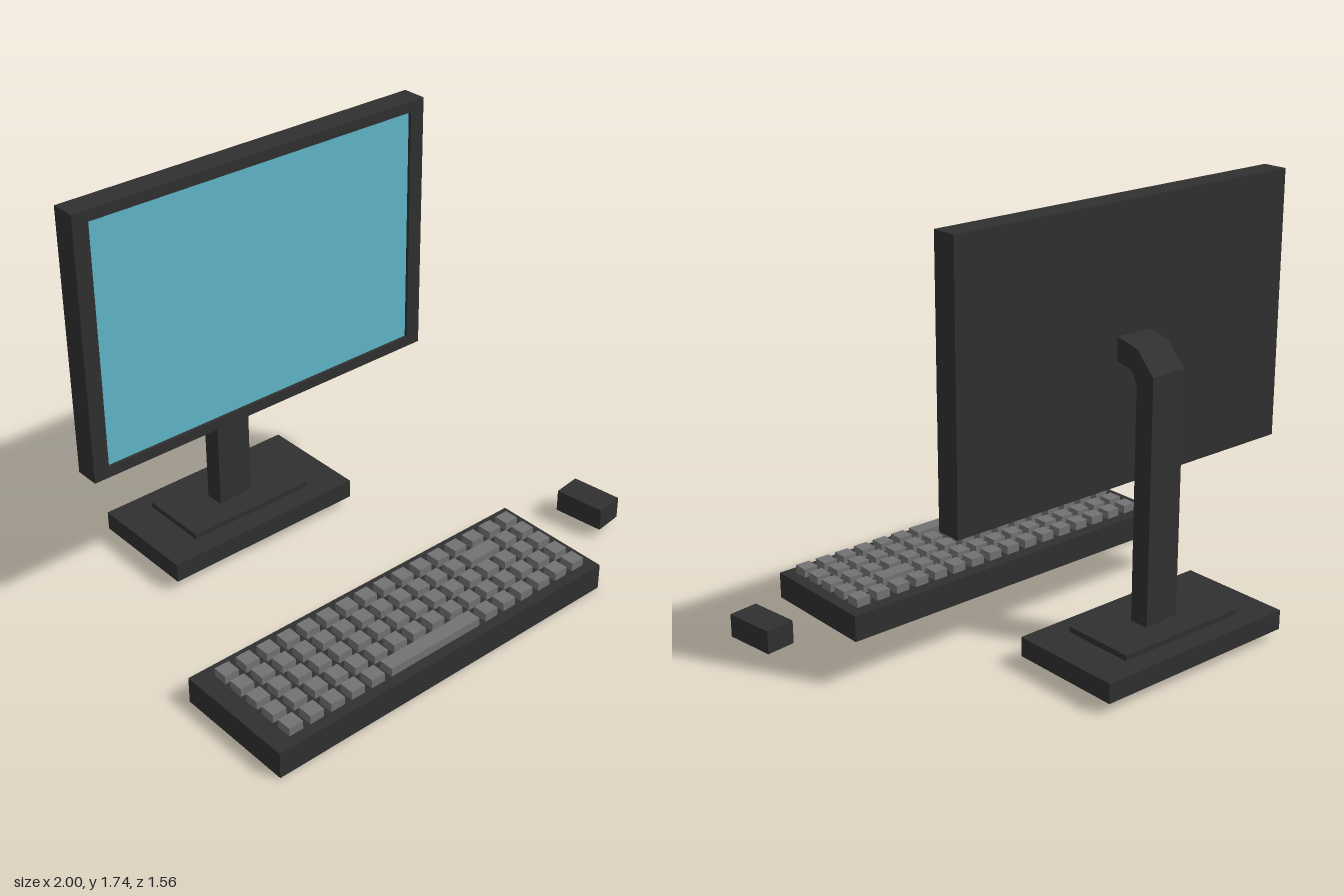
import * as THREE from 'three';

const dark = new THREE.MeshStandardMaterial({ color: 0x303030 });
const keyGrey = new THREE.MeshStandardMaterial({ color: 0x727272 });
const screenBlue = new THREE.MeshStandardMaterial({ color: 0x60b6ca });

// Box given by its min and max on each axis
function box(name, [x0, x1], [y0, y1], [z0, z1], material = dark) {
  const mesh = new THREE.Mesh(new THREE.BoxGeometry(x1 - x0, y1 - y0, z1 - z0), material);
  mesh.position.set((x0 + x1) / 2, (y0 + y1) / 2, (z0 + z1) / 2);
  mesh.name = name;
  return mesh;
}

function rectangle(Type, x0, x1, y0, y1) {
  return new Type([[x0, y0], [x1, y0], [x1, y1], [x0, y1]].map(([x, y]) => new THREE.Vector2(x, y)));
}

function createMonitor() {
  const monitor = new THREE.Group();
  monitor.name = 'monitor';
  const recess = 0.015, front = -0.302;

  // Bezel frame around a slightly recessed screen
  const outline = rectangle(THREE.Shape, -0.975, 0.638, 0.655, 1.735);
  outline.holes.push(rectangle(THREE.Path, -0.91, 0.573, 0.699, 1.691));
  const bezel = new THREE.Mesh(new THREE.ExtrudeGeometry(outline, { depth: recess, bevelEnabled: false }), dark);
  bezel.position.z = front - recess;
  bezel.name = 'bezel';
  const back = box('monitorCase', [-0.975, 0.638], [0.655, 1.735], [-0.406, front - recess]);
  const screen = new THREE.Mesh(new THREE.PlaneGeometry(1.483, 0.992), screenBlue);
  screen.position.set(-0.1685, 1.195, front - recess + 0.002);
  screen.name = 'screen';
  monitor.add(bezel, back, screen);
  return monitor;
}

function createStand() {
  const stand = new THREE.Group();
  stand.name = 'stand';
  stand.add(
    box('base', [-0.64, 0.26], [0.04, 0.12], [-0.78, -0.302]),
    box('plinth', [-0.48, 0.098], [0.12, 0.143], [-0.695, -0.39]),
  );

  // Bent neck: side profile (z, y), extruded across its width
  const profile = [
    [-0.04, 0.13], [0.04, 0.13], [0.04, 1.08], [0.065, 1.13], [0.145, 1.148],
    [0.145, 1.242], [0.04, 1.215], [-0.04, 1.125],
  ].map(([z, y]) => new THREE.Vector2(z, y));
  const geometry = new THREE.ExtrudeGeometry(new THREE.Shape(profile), { depth: 0.162, bevelEnabled: false });
  geometry.translate(0, 0, -0.081).rotateY(-Math.PI / 2);
  const neck = new THREE.Mesh(geometry, dark);
  neck.position.set(-0.193, 0, -0.541);
  neck.rotation.y = 0.04;
  neck.name = 'neck';
  stand.add(neck);
  return stand;
}

function createKeyboard() {
  const keyboard = new THREE.Group();
  keyboard.name = 'keyboard';
  keyboard.add(box('keyboardCase', [-1, 0.62], [0, 0.11], [0.258, 0.778]));

  // Wide keys span several columns: row -> [first column, last column, name]
  const wide = { 1: [12, 13, 'enterKey'], 4: [5, 9, 'spaceBar'] };
  const half = 0.031;
  const columnX = (c) => -0.889 + c * 0.0952;
  for (let row = 0; row < 5; row++) {
    const z = 0.342 + row * 0.09;
    for (let col = 0; col < 16; col++) {
      const [first, last, name] = wide[row]?.[0] === col ? wide[row] : [col, col, 'key'];
      keyboard.add(box(name, [columnX(first) - half, columnX(last) + half],
        [0.1, 0.145], [z - half, z + half], keyGrey));
      col = last;
    }
  }
  return keyboard;
}

export function createModel() {
  const model = new THREE.Group();
  model.name = 'desktopComputer';
  const mouse = box('mouse', [0.86, 0.984], [0.04, 0.135], [0.333, 0.549]);
  mouse.rotation.y = 0.125;
  model.add(createMonitor(), createStand(), createKeyboard(), mouse);
  return model;
}
